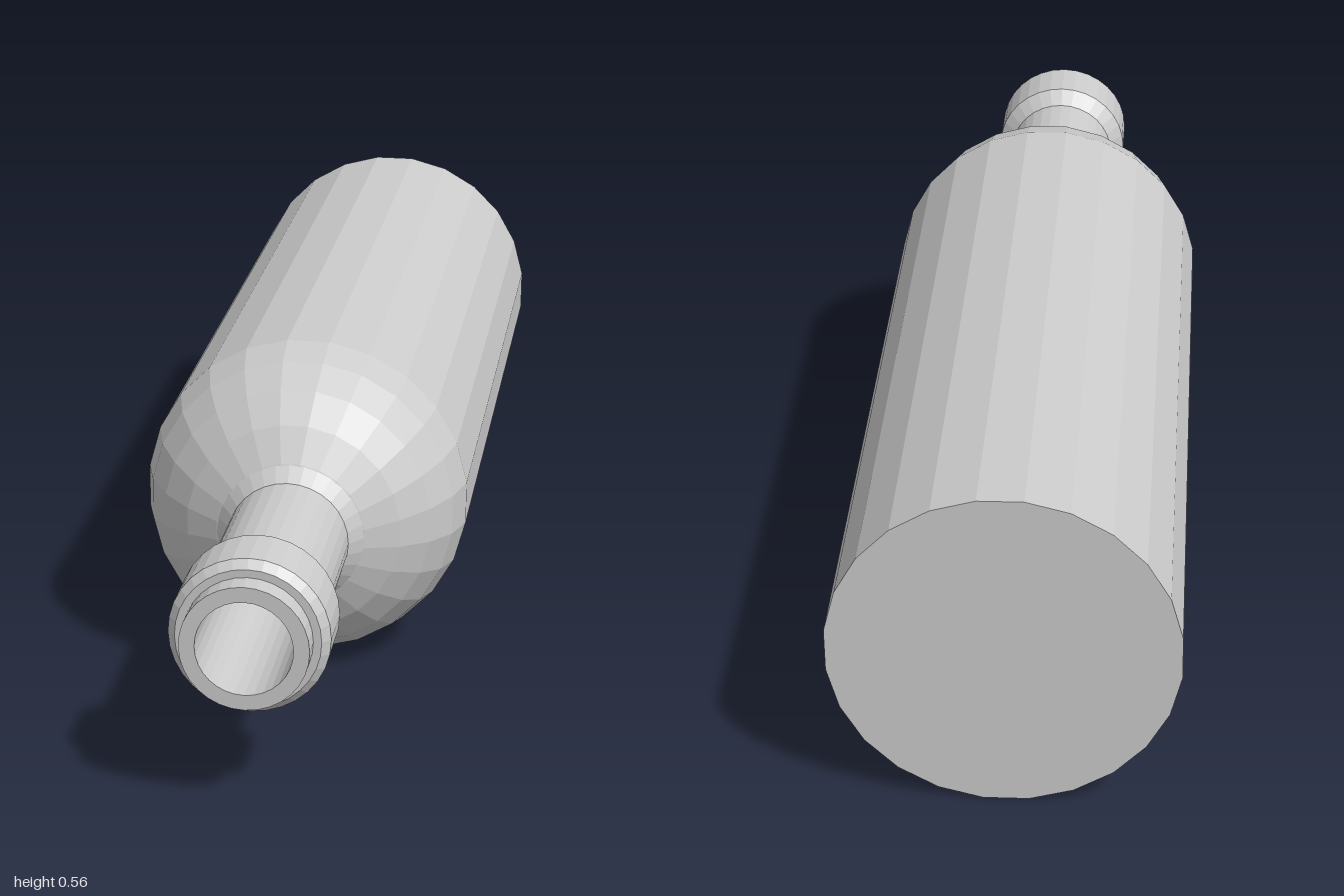
import * as THREE from 'three';

const AXIS_HEIGHT = 0.28;

// Revolves [radius, z] pairs around the long axis of the bottle
function revolve(name, profile, sides, startAngle, material) {
  const points = profile.map(([r, z]) => new THREE.Vector2(r, z));
  const geometry = new THREE.LatheGeometry(points, sides, startAngle).rotateX(Math.PI / 2);
  const mesh = new THREE.Mesh(geometry, material);
  mesh.name = name;
  mesh.position.y = AXIS_HEIGHT;
  return mesh;
}

export function createModel() {
  const group = new THREE.Group();
  group.name = 'bottle';
  const material = new THREE.MeshStandardMaterial({ color: 0xcccccc, flatShading: true });

  // Flat base, straight wall and rounded shoulder
  const body = [
    [0, -1], [0.281, -1], [0.281, 0.31], [0.263, 0.375],
    [0.23, 0.43], [0.183, 0.477], [0.127, 0.512], [0.1, 0.525],
  ];
  group.add(revolve('body', body, 24, 0.12, material));

  // Neck with flared root, raised collar, lip and open bore
  const neck = [
    [0.127, 0.51], [0.102, 0.54], [0.102, 0.82], [0.128, 0.845], [0.128, 0.945],
    [0.115, 0.96], [0.102, 0.96], [0.102, 1], [0.077, 1], [0.077, 0.54], [0, 0.54],
  ];
  group.add(revolve('neck', neck, 32, 0, material));

  return group;
}
